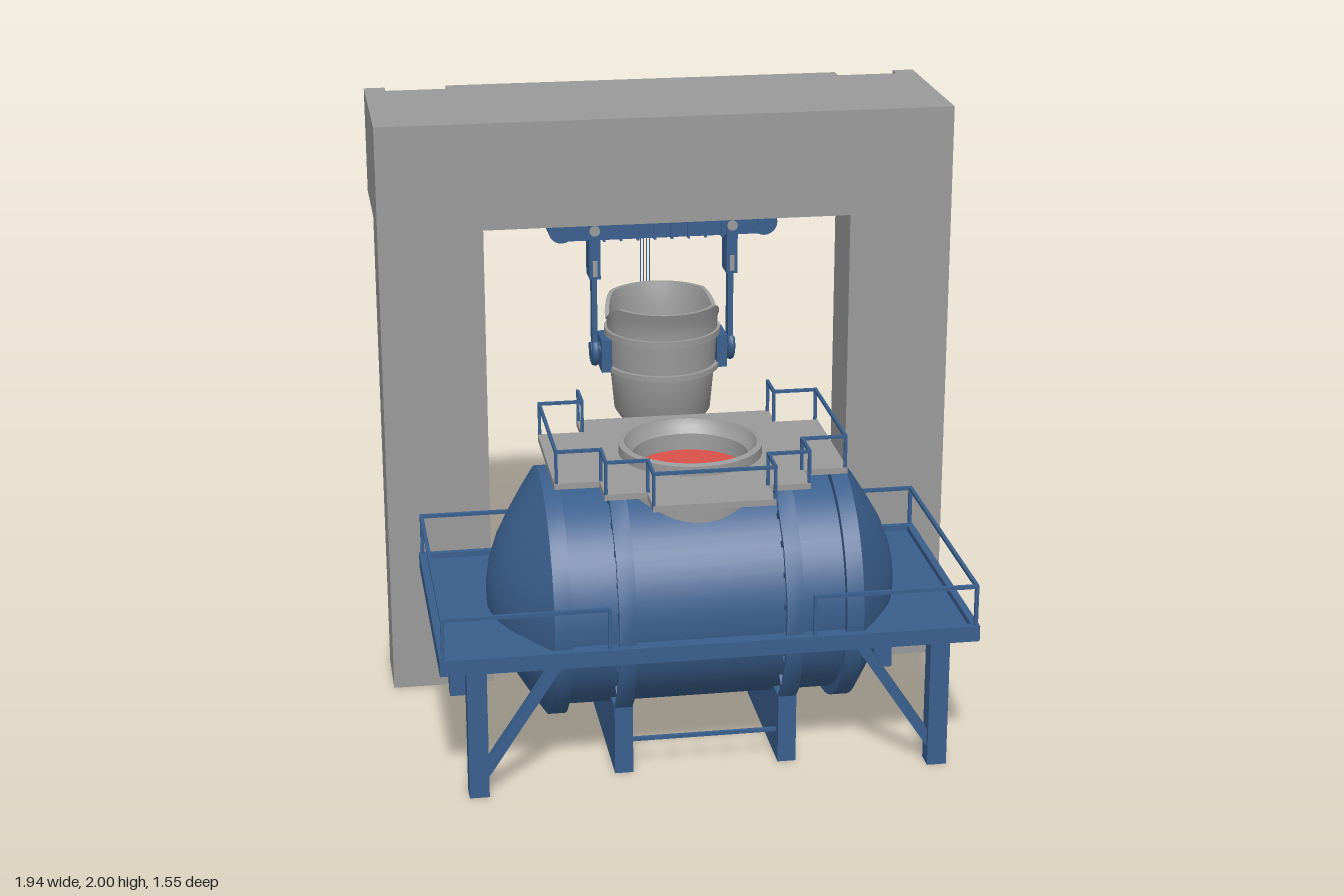
import * as THREE from 'three';
import { toCreasedNormals } from 'three/addons/utils/BufferGeometryUtils.js';

const mat = (name, color) => Object.assign(new THREE.MeshStandardMaterial({ color }), { name });

export function createModel() {
  const blue = mat('steel blue', 0x3a5f8d);
  const gray = mat('plain gray', 0x9a9a9a);
  const red = mat('molten red', 0xd9504a);
  const root = new THREE.Group();
  root.name = 'ladleAndConverter';

  const group = (name, x = 0, y = 0, z = 0, parent = root) => {
    const g = new THREE.Group();
    g.name = name;
    g.position.set(x, y, z);
    parent.add(g);
    return g;
  };
  const add = (parent, name, geo, m, x = 0, y = 0, z = 0) => {
    const mesh = new THREE.Mesh(geo, m);
    mesh.name = name;
    mesh.position.set(x, y, z);
    parent.add(mesh);
    return mesh;
  };
  // box given by its limits on each axis
  const box = (parent, name, m, x0, x1, y0, y1, z0, z1) =>
    add(parent, name, new THREE.BoxGeometry(x1 - x0, y1 - y0, z1 - z0), m, (x0 + x1) / 2, (y0 + y1) / 2, (z0 + z1) / 2);
  // square bar between two points
  const bar = (parent, name, m, a, b, t) => {
    const p = new THREE.Vector3(...a), q = new THREE.Vector3(...b);
    const mesh = add(parent, name, new THREE.BoxGeometry(t, p.distanceTo(q) + t, t), m);
    mesh.position.copy(p).add(q).multiplyScalar(0.5);
    mesh.quaternion.setFromUnitVectors(new THREE.Vector3(0, 1, 0), q.sub(p).normalize());
    return mesh;
  };
  const lathe = (pts, seg = 48) =>
    toCreasedNormals(new THREE.LatheGeometry(pts.map(p => new THREE.Vector2(...p)), seg), 0.5);
  // plan outline of [x, z] points raised from y0 to y1, with optional hole paths
  const slab = (pts, y0, y1, holes = []) => {
    const s = new THREE.Shape(pts.map(([x, z]) => new THREE.Vector2(x, -z)));
    s.holes.push(...holes);
    return new THREE.ExtrudeGeometry(s, { depth: y1 - y0, bevelEnabled: false, curveSegments: 24 })
      .rotateX(-Math.PI / 2).translate(0, y0, 0);
  };
  const disc = r => new THREE.CircleGeometry(r, 40).rotateX(-Math.PI / 2);
  // handrail with posts along [x, z] points
  const railing = (parent, pts, y0, y1, t) => pts.forEach(([x, z], i) => {
    bar(parent, 'railPost', blue, [x, y0, z], [x, y1 - t / 2, z], t);
    if (i) bar(parent, 'handRail', blue, [pts[i - 1][0], y1 - t / 2, pts[i - 1][1]], [x, y1 - t / 2, z], t);
  });

  // Portal frame: one channel runs up each leg, under the beam and up its back
  const portal = group('portalFrame');
  add(portal, 'portalBeam', slab([[-0.972, -0.15], [0.972, -0.15], [0.972, -0.742], [0.9, -0.742], [0.9, -0.69], [0.69, -0.69],
    [0.69, -0.742], [-0.69, -0.742], [-0.69, -0.69], [-0.9, -0.69], [-0.9, -0.742], [-0.972, -0.742]], 1.688, 2), gray);
  box(portal, 'beamUnderside', gray, -0.69, 0.69, 1.638, 1.688, -0.742, -0.15);
  for (const s of [-1, 1]) {
    add(portal, 'portalLeg', slab([[0.622, -0.15], [0.972, -0.15], [0.972, -0.385], [0.9, -0.385], [0.9, -0.335],
      [0.69, -0.335], [0.69, -0.385], [0.622, -0.385]].map(([x, z]) => [s * x, z]), 0, 1.688), gray);
    box(portal, 'legSill', gray, s * 0.795 - 0.105, s * 0.795 + 0.105, 0, 0.02, -0.385, -0.33);
    box(portal, 'beamEnd', gray, s * 0.936 - 0.036, s * 0.936 + 0.036, 1.638, 1.688, -0.742, -0.15);
  }

  // Horizontal vessel with flanges and domed ends
  const vessel = group('vessel', 0, 0.53, 0.298);
  const half = [[0.38, 0.445], [0.41, 0.445], [0.41, 0.5], [0.345, 0.545], [0.27, 0.592], [0.2, 0.632], [0.12, 0.662], [0.05, 0.676], [0, 0.678]];
  const profile = [...half.map(([r, x]) => [r, -x]).reverse(), ...half];
  add(vessel, 'vesselShell', lathe(profile, 56).rotateZ(-Math.PI / 2), blue);
  for (const s of [-1, 1]) {
    const strap = group('strapRing', s * 0.27, 0, 0, vessel);
    add(strap, 'strap', lathe([[0.428, -0.028], [0.445, -0.028], [0.445, 0.028], [0.428, 0.028], [0.428, -0.028]], 16)
      .rotateY(Math.PI / 16).rotateZ(-Math.PI / 2), blue);
    for (let i = 0; i < 24; i++) {
      const a = (i + 0.5) / 24 * Math.PI * 2;
      const b = add(strap, 'strapBlock', new THREE.BoxGeometry(0.05, 0.055, 0.018), blue, 0, Math.cos(a) * 0.4, Math.sin(a) * 0.4);
      b.rotation.x = a;
    }
  }
  // Tapered rear hood with a raised hatch
  const hood = group('rearHood', 0, 0.09, 0, vessel);
  hood.rotation.x = 0.08;
  const hoodGeo = new THREE.BoxGeometry(0.36, 0.32, 0.17);
  const hp = hoodGeo.attributes.position;
  for (let i = 0; i < hp.count; i++) {
    if (hp.getZ(i) < 0) hp.setXY(i, hp.getX(i) * 0.85, hp.getY(i) * 0.72);
  }
  hoodGeo.computeVertexNormals();
  add(hood, 'hoodBody', hoodGeo, blue, 0, 0, -0.425);
  add(hood, 'hoodHatch', new THREE.BoxGeometry(0.17, 0.13, 0.05), blue, 0, 0, -0.525);

  // Vessel mouth and melt
  add(root, 'vesselMouth', lathe([[0.235, 0.78], [0.235, 1.02], [0.217, 1.025], [0.208, 1.0], [0.19, 0.98], [0.184, 0.88]]), gray, 0, 0, 0.3);
  add(root, 'vesselMelt', disc(0.186), red, 0, 0.925, 0.3);

  // Saddles with tie rods
  for (const s of [-1, 1]) {
    box(root, 'saddle', blue, s * 0.27 - 0.03, s * 0.27 + 0.03, 0, 0.235, 0.055, 0.62);
    const z = 0.34 + s * 0.24;
    bar(root, 'tieRod', blue, [-0.25, 0.1, z], [0.25, 0.1, z], 0.012);
  }

  // Working deck sunk inside an edge beam, with legs, braces and rails
  const deck = group('workingDeck');
  add(deck, 'deckPlate', slab([[-0.86, 0.755], [0.86, 0.755], [0.86, -0.145], [0.3, -0.145], [0.3, 0.05], [-0.3, 0.05], [-0.3, -0.145], [-0.86, -0.145]], 0.455, 0.485), blue);
  box(deck, 'frontEdgeBeam', blue, -0.87, 0.87, 0.452, 0.505, 0.74, 0.764);
  for (const s of [-1, 1]) {
    box(deck, 'sideEdgeBeam', blue, s * 0.858 - 0.012, s * 0.858 + 0.012, 0.452, 0.505, -0.155, 0.764);
    box(deck, 'rearEdgeBeam', blue, s * 0.585 - 0.285, s * 0.585 + 0.285, 0.452, 0.505, -0.155, -0.131);
    for (const z of [0.69, -0.083]) {
      box(deck, 'deckLeg', blue, s * 0.752 - 0.032, s * 0.752 + 0.032, 0, 0.46, z - 0.032, z + 0.032);
      bar(deck, 'deckBrace', blue, [s * 0.735, 0.07, z], [s * 0.485, 0.45, z], 0.034);
    }
    railing(deck, [[0.33, 0.752], [0.858, 0.752], [0.858, -0.143], [0.33, -0.143]].map(([x, z]) => [s * x, z]), 0.5, 0.645, 0.012);
  }

  // Stepped upper platform around the mouth
  const upper = group('upperPlatform');
  const side = [[0.33, -0.06], [0.33, 0.06], [0.475, 0.06], [0.475, 0.53], [0.33, 0.53], [0.33, 0.65], [0.195, 0.65], [0.195, 0.772]];
  const outline = [...side, ...side.map(([x, z]) => [-x, z]).reverse()];
  const mouthHole = new THREE.Path().absarc(0, -0.3, 0.226, 0, Math.PI * 2);
  add(upper, 'platformPlate', slab([...outline].reverse(), 0.967, 0.987, [mouthHole]), gray);
  railing(upper, outline.map(([x, z]) => [x * 0.985, z > 0 ? z - 0.006 : z + 0.006]), 0.98, 1.097, 0.01);

  // Ladle with a raised, flaring lip front and back
  const ladle = group('ladle', 0, 0, -0.302);
  const pot = lathe([[0, 0.91], [0.1, 0.91], [0.1, 0.885], [0.125, 0.885], [0.125, 0.91], [0.15, 0.915], [0.166, 0.94], [0.18, 1.09],
    [0.197, 1.09], [0.197, 1.108], [0.183, 1.108], [0.188, 1.21], [0.2, 1.21], [0.2, 1.233], [0.19, 1.233], [0.191, 1.262],
    [0.193, 1.295], [0.197, 1.33], [0.183, 1.33], [0.178, 1.262], [0.172, 1.17]], 56);
  const p = pot.attributes.position;
  for (let i = 0; i < p.count; i++) {
    const x = p.getX(i), y = p.getY(i), z = p.getZ(i);
    if (y < 1.265) continue;
    const k = Math.min(1, Math.abs(z) / Math.hypot(x, z) * 2);
    p.setY(i, 1.262 + (y - 1.262) * (0.05 + 0.95 * k));
    p.setZ(i, z * (1 + 0.08 * k * (y - 1.262) / 0.068));
  }
  add(ladle, 'ladlePot', toCreasedNormals(pot, 0.5), gray);
  add(ladle, 'ladleMelt', disc(0.176), red, 0, 1.215, 0);
  box(ladle, 'tippingLug', gray, -0.02, 0.02, 0.955, 1.0, -0.235, -0.16);
  for (const s of [-1, 1]) {
    box(ladle, 'trunnionPlate', blue, s * 0.2 - 0.018, s * 0.2 + 0.018, 1.09, 1.205, -0.06, 0.06);
    add(ladle, 'trunnion', new THREE.CylinderGeometry(0.028, 0.028, 0.07, 20).rotateZ(Math.PI / 2), blue, s * 0.215, 1.155, 0);
  }

  // Lifting beam with end sheaves, ribs and hanger arms
  const lift = group('liftingBeam', 0, 0, -0.302);
  box(lift, 'crossBeam', blue, -0.35, 0.35, 1.555, 1.615, -0.035, 0.035);
  for (let i = 0; i < 8; i++) {
    const x = (i - 3.5) * 0.058;
    box(lift, 'beamRib', blue, x - 0.004, x + 0.004, 1.55, 1.637, -0.042, 0.042);
  }
  for (const s of [-1, 1]) {
    const endDisc = (r, d) => add(lift, 'endSheave', new THREE.CylinderGeometry(r, r, d, 24).rotateX(Math.PI / 2), blue, s * 0.348, 1.595, 0);
    endDisc(0.045, 0.08);
    endDisc(0.025, 0.1);
    const x = s * 0.236;
    add(lift, 'hangerPin', new THREE.CylinderGeometry(0.018, 0.018, 0.1, 16).rotateX(Math.PI / 2), gray, x, 1.59, 0);
    box(lift, 'hangerBlock', blue, x - 0.019, x + 0.019, 1.42, 1.61, -0.045, 0.045);
    box(lift, 'hangerLink', gray, x - 0.008, x + 0.008, 1.43, 1.485, -0.048, 0.048);
    box(lift, 'hangerArm', blue, x - 0.009, x + 0.009, 1.17, 1.43, -0.022, 0.022);
    const hook = add(lift, 'hangerHook', new THREE.TorusGeometry(0.042, 0.014, 8, 20, Math.PI * 1.4), blue, x, 1.155, 0);
    hook.rotation.set(0, Math.PI / 2, 0);
    hook.rotateZ(Math.PI * 0.75);
  }

  // Auxiliary hoist: ropes, sheave block and double hook
  const hoist = group('auxiliaryHoist', 0, 0, -0.647);
  for (const s of [-1, 1]) {
    for (const x of [-0.018, 0.004]) bar(hoist, 'rope', blue, [x, 1.17, s * 0.037], [x, 1.638, s * 0.037], 0.003);
    box(hoist, 'blockCheek', blue, s * 0.022 - 0.003, s * 0.022 + 0.003, 1.08, 1.17, -0.012, 0.012);
  }
  add(hoist, 'sheave', new THREE.CylinderGeometry(0.039, 0.039, 0.036, 24).rotateZ(Math.PI / 2), blue, 0, 1.17, 0);
  box(hoist, 'blockBody', blue, -0.02, 0.02, 1.085, 1.122, -0.034, 0.034);
  add(hoist, 'swivel', new THREE.CylinderGeometry(0.015, 0.015, 0.054, 16).rotateZ(Math.PI / 2), gray, 0, 1.104, 0);
  box(hoist, 'hookShank', blue, -0.012, 0.012, 1.0, 1.09, -0.018, 0.018);
  const h = new THREE.Shape();
  h.moveTo(-0.02, 1.01);
  h.lineTo(0.02, 1.01);
  h.quadraticCurveTo(0.03, 0.965, 0.07, 0.962);
  h.quadraticCurveTo(0.1, 0.962, 0.107, 0.985);
  h.quadraticCurveTo(0.125, 1.005, 0.132, 0.975);
  h.quadraticCurveTo(0.125, 0.92, 0.07, 0.918);
  h.lineTo(-0.07, 0.918);
  h.quadraticCurveTo(-0.125, 0.92, -0.132, 0.975);
  h.quadraticCurveTo(-0.125, 1.005, -0.107, 0.985);
  h.quadraticCurveTo(-0.1, 0.962, -0.07, 0.962);
  h.quadraticCurveTo(-0.03, 0.965, -0.02, 1.01);
  const hookGeo = new THREE.ExtrudeGeometry(h, { depth: 0.016, bevelEnabled: false, curveSegments: 8 });
  add(hoist, 'doubleHook', hookGeo.translate(0, 0, -0.008).rotateY(Math.PI / 2), gray);

  return root;
}
